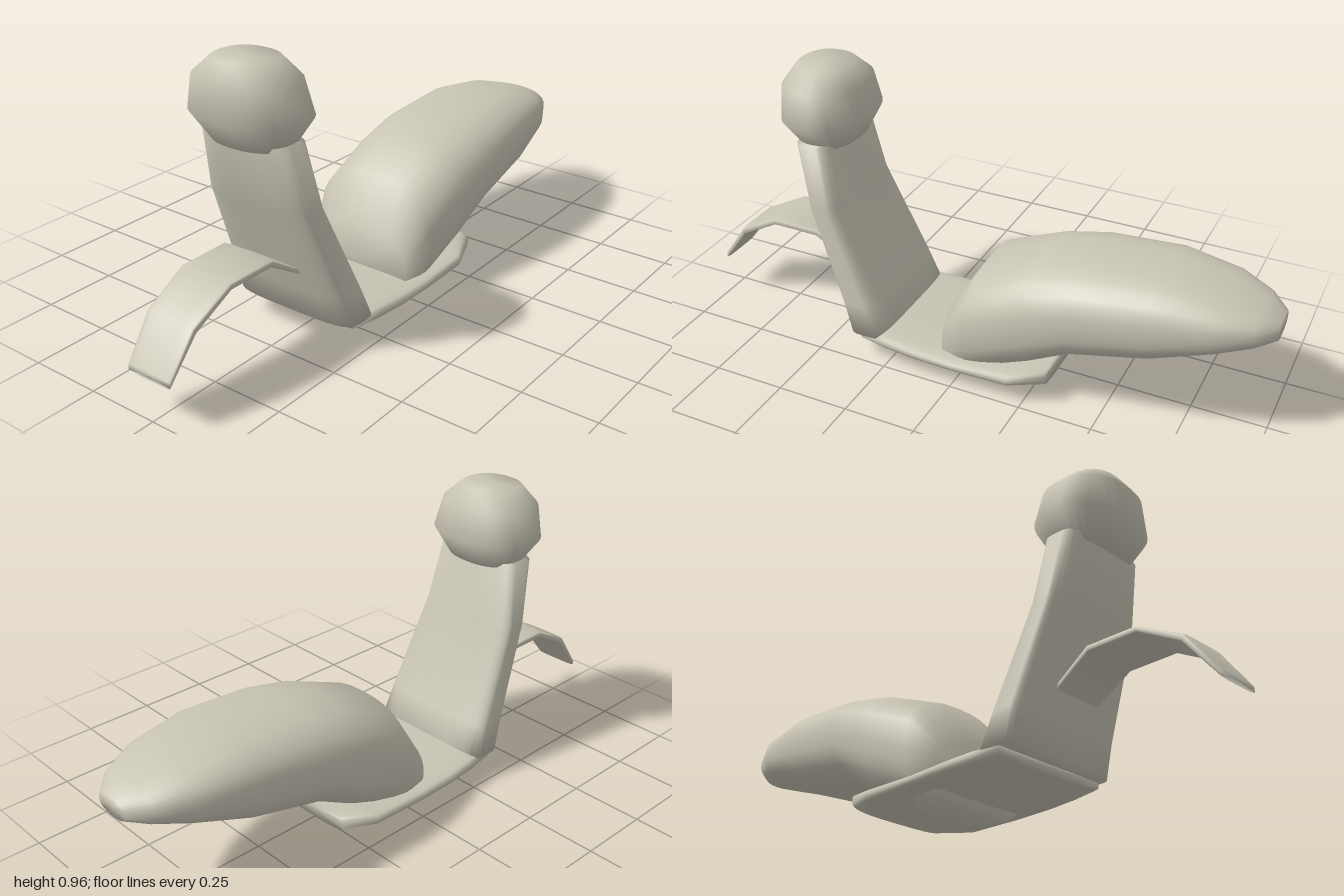
import * as THREE from 'three';

const SEGMENTS = 32;

// Closed loft through rounded sections. Each section is [zLow, yLow, zHigh, yHigh, halfWidth]:
// the two ends of its centre line and its half width along x. n sets how square it is.
function loft(sections, n) {
  const pos = [], idx = [];
  const soft = v => Math.sign(v) * Math.pow(Math.abs(v), 2 / n);
  for (const [zl, yl, zh, yh, w] of sections) {
    for (let j = 0; j < SEGMENTS; j++) {
      const a = (j / SEGMENTS) * Math.PI * 2;
      const t = (soft(Math.sin(a)) + 1) / 2;
      pos.push(w * soft(Math.cos(a)), yl + (yh - yl) * t, zl + (zh - zl) * t);
    }
  }
  const last = sections.length - 1;
  for (let i = 0; i < last; i++) {
    for (let j = 0; j < SEGMENTS; j++) {
      const k = (j + 1) % SEGMENTS;
      const a = i * SEGMENTS + j, b = i * SEGMENTS + k;
      idx.push(a, b, a + SEGMENTS, b, b + SEGMENTS, a + SEGMENTS);
    }
  }
  // End caps
  for (const i of [0, last]) {
    const [zl, yl, zh, yh] = sections[i];
    const centre = pos.length / 3;
    pos.push(0, (yl + yh) / 2, (zl + zh) / 2);
    for (let j = 0; j < SEGMENTS; j++) {
      const a = i * SEGMENTS + j, b = i * SEGMENTS + (j + 1) % SEGMENTS;
      if (i === 0) idx.push(centre, b, a);
      else idx.push(centre, a, b);
    }
  }
  const g = new THREE.BufferGeometry();
  g.setAttribute('position', new THREE.Float32BufferAttribute(pos, 3));
  g.setIndex(idx);
  g.computeVertexNormals();
  return g;
}

export function createModel() {
  const group = new THREE.Group();
  const paint = new THREE.MeshStandardMaterial({ color: 0xc8c4b4 });
  paint.name = 'warm grey';
  const add = (name, sections, n) => {
    const mesh = new THREE.Mesh(loft(sections, n), paint);
    mesh.name = name;
    group.add(mesh);
  };

  // Headlamp housing, bottom to top
  add('headlampHousing', [
    [0.635, 0.712, 0.45, 0.712, 0.135],
    [0.69, 0.8, 0.405, 0.8, 0.196],
    [0.69, 0.907, 0.425, 0.907, 0.168],
    [0.65, 0.966, 0.47, 0.966, 0.1],
  ], 2.3);

  // Leg shield, bottom to top
  add('legShield', [
    [0.41, 0.093, 0.25, 0.093, 0.235],
    [0.44, 0.2, 0.297, 0.2, 0.226],
    [0.555, 0.51, 0.445, 0.52, 0.197],
    [0.61, 0.73, 0.48, 0.73, 0.168],
  ], 4);

  // Front mudguard, back to front
  add('frontMudguard', [
    [0.4, 0.215, 0.4, 0.235, 0.09],
    [0.46, 0.265, 0.46, 0.285, 0.095],
    [0.59, 0.345, 0.585, 0.37, 0.1],
    [0.76, 0.345, 0.76, 0.37, 0.098],
    [0.898, 0.268, 0.908, 0.293, 0.092],
    [1.0, 0.138, 1.0, 0.165, 0.083],
  ], 5);

  // Footboard, back to front
  add('footboard', [
    [-0.317, 0.064, -0.315, 0.13, 0.2],
    [-0.2, 0.05, -0.2, 0.107, 0.243],
    [0, 0.049, 0, 0.1, 0.246],
    [0.14, 0.05, 0.14, 0.106, 0.246],
    [0.25, 0.052, 0.25, 0.112, 0.238],
    [0.35, 0.057, 0.35, 0.11, 0.222],
  ], 3.5);

  // Rear body and seat, back to front
  add('rearBody', [
    [-1.0, 0.365, -1.0, 0.43, 0.065],
    [-0.94, 0.345, -0.94, 0.46, 0.13],
    [-0.83, 0.308, -0.83, 0.495, 0.187],
    [-0.64, 0.235, -0.64, 0.525, 0.222],
    [-0.385, 0.175, -0.385, 0.505, 0.24],
    [-0.24, 0.093, -0.24, 0.475, 0.24],
    [-0.04, 0.002, -0.04, 0.395, 0.229],
    [0.055, 0.002, 0.055, 0.24, 0.195],
  ], 2.5);

  return group;
}
